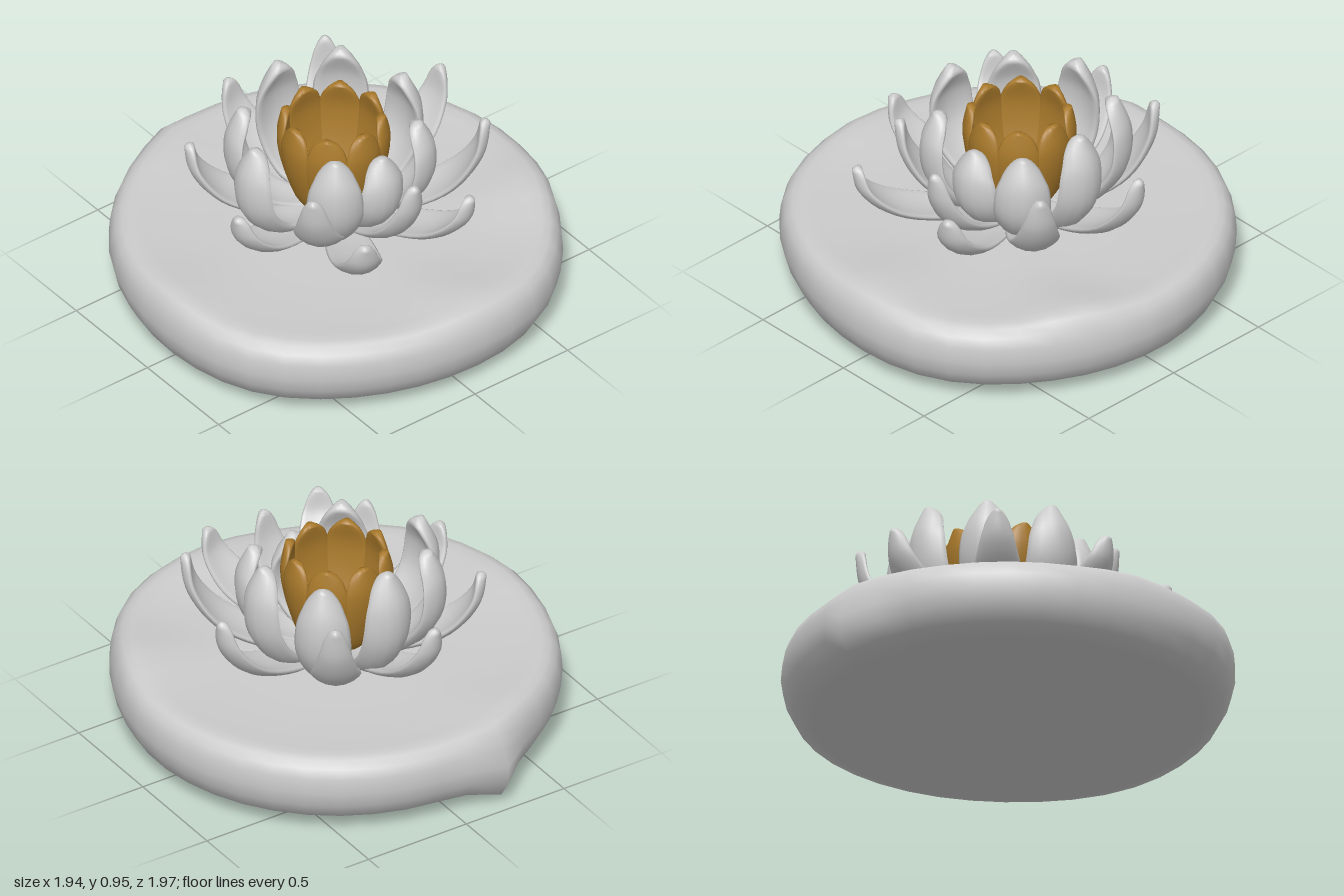
import * as THREE from 'three';
import { mergeVertices } from 'three/addons/utils/BufferGeometryUtils.js';

const grey = new THREE.MeshStandardMaterial({ color: 0xcccccc, side: THREE.DoubleSide });
const gold = new THREE.MeshStandardMaterial({ color: 0xa8792b, side: THREE.DoubleSide });
const CX = 0.02, CZ = -0.02; // flower axis

// Cupped petal with a blunt round tip, lofted along a path of [radius, height];
// one width per path point
function petalGeometry(path, widths, thick, cup) {
  const spine = new THREE.CatmullRomCurve3(path.map(([r, y]) => new THREE.Vector3(0, y, r)));
  const wide = new THREE.SplineCurve(widths.map((w, i) => new THREE.Vector2(i, w)));
  const rows = 24, sides = 16, pos = [], index = [];
  for (let i = 0; i <= rows; i++) {
    const t = 1 - (1 - i / rows) ** 1.5; // denser rows towards the tip
    const p = spine.getPoint(t), d = spine.getTangent(t);
    const round = Math.sqrt(1 - Math.max(0, (t - 0.88) / 0.12) ** 2);
    const w = Math.max(wide.getPoint(t).y * round, 0.004) / 2;
    const h = Math.min(thick / 2, w);
    for (let j = 0; j < sides; j++) {
      const a = (j / sides) * Math.PI * 2, c = Math.cos(a);
      const n = Math.sin(a) * h + cup * w * c * c; // offset towards the inner face
      pos.push(c * w, p.y + d.z * n, p.z - d.y * n);
      if (i < rows) {
        const k = i * sides + j, k2 = i * sides + (j + 1) % sides;
        index.push(k, k2, k + sides, k2, k2 + sides, k + sides);
      }
    }
  }
  // close both ends
  const last = rows * sides;
  for (let j = 1; j < sides - 1; j++) {
    index.push(0, j + 1, j, last, last + j, last + j + 1);
  }
  const g = new THREE.BufferGeometry();
  g.setAttribute('position', new THREE.Float32BufferAttribute(pos, 3));
  g.setIndex(index);
  g.computeVertexNormals();
  return g;
}

function addPetal(group, name, geometry, angle, material) {
  const m = new THREE.Mesh(geometry, material);
  m.name = name;
  m.position.set(CX, 0, CZ);
  m.rotation.y = angle;
  group.add(m);
}

// Thick rounded leaf with soft humps and a pointed lip at the back
function lilyPad() {
  const profile = [[0, 0.046], [0.4, 0.046], [0.65, 0.046], [0.76, 0.048], [0.84, 0.06], [0.915, 0.09],
    [0.952, 0.16], [0.968, 0.23], [0.962, 0.3], [0.945, 0.345], [0.915, 0.372], [0.88, 0.38],
    [0.83, 0.377], [0.75, 0.37], [0.6, 0.365], [0.45, 0.365], [0.25, 0.37], [0, 0.375]];
  const lipAngle = Math.atan2(-0.22, -0.97);
  const points = profile.map(([r, y]) => new THREE.Vector2(r, y));
  let g = new THREE.LatheGeometry(points, 40, lipAngle); // one column runs through the lip
  g.deleteAttribute('uv');
  g.deleteAttribute('normal');
  g = mergeVertices(g, 1e-4);
  const humps = [[0.05, 0.75, 0.035], [0.74, 0.35, 0.04], [-0.84, 0.05, 0.02], [-0.3, -0.75, 0.015]];
  const p = g.attributes.position;
  for (let i = 0; i < p.count; i++) {
    let x = p.getX(i), y = p.getY(i), z = p.getZ(i);
    const r = Math.hypot(x, z), angle = Math.atan2(x, z);
    let d = angle - lipAngle;
    d = Math.atan2(Math.sin(d), Math.cos(d));
    const lip = Math.exp(-((d / 0.12) ** 2));
    const outer = THREE.MathUtils.smoothstep(r, 0.6, 0.95);
    const low = 1 - THREE.MathUtils.smoothstep(y, 0.15, 0.36);
    // the outline swells slightly at two places on the front half
    const swell = Math.exp(-(((angle + 1.01) / 0.4) ** 2)) + Math.exp(-(((angle - 0.47) / 0.4) ** 2));
    const s = 1 + outer * (0.072 * lip * (0.3 + 0.7 * low) + 0.035 * swell);
    if (y > 0.33) {
      for (const [hx, hz, a] of humps) y += a * Math.exp(-((x - hx) ** 2 + (z - hz) ** 2) / 0.035);
    } else {
      y -= lip * THREE.MathUtils.smoothstep(r, 0.35, 0.8) * low * 0.046;
    }
    p.setXYZ(i, x * s, Math.max(y, 0), z * s + 0.012);
  }
  g.computeVertexNormals();
  const m = new THREE.Mesh(g, grey);
  m.name = 'lilyPad';
  return m;
}

export function createModel() {
  const model = new THREE.Group();
  model.name = 'waterLily';
  model.add(lilyPad());

  // Outer petals, each given by its tip [x, z, y]
  const outer = new THREE.Group();
  outer.name = 'outerPetals';
  const outerTips = [[-0.09, -0.62, 0.76], [0.35, -0.51, 0.85], [0.67, -0.11, 0.79], [0.55, 0.36, 0.84],
    [0.26, 0.63, 0.72], [0.05, 0.51, 0.8], [-0.31, 0.63, 0.72], [-0.36, 0.33, 0.8],
    [-0.61, 0.13, 0.71], [-0.5, -0.36, 0.76]];
  for (const [x, z, y] of outerTips) {
    const R = Math.hypot(x - CX, z - CZ), h = y - 0.4;
    const path = [[0.04, 0.39], [R * 0.45, 0.41], [R * 0.78, 0.4 + h * 0.25], [R * 0.96, 0.4 + h * 0.62], [R, y]];
    const g = petalGeometry(path, [0.1, 0.2, 0.215, 0.15, 0.08], 0.045, 0.3);
    addPetal(outer, 'outerPetal', g, Math.atan2(x - CX, z - CZ), grey);
  }
  model.add(outer);

  // Middle petals: a ring of eight, upright and bulging past their tips
  const middle = new THREE.Group();
  middle.name = 'middlePetals';
  const middleTips = [[0, -0.37, 0.95], [0.28, -0.31, 0.93], [0.38, -0.02, 0.92], [0.28, 0.21, 0.86],
    [0.05, 0.26, 0.81], [-0.18, 0.25, 0.89], [-0.39, -0.02, 0.89], [-0.27, -0.26, 0.9]];
  for (const [x, z, y] of middleTips) {
    const R = Math.hypot(x - CX, z - CZ), h = y - 0.4;
    const path = [[0.04, 0.39], [R * 0.75, 0.43], [R + 0.04, 0.4 + h * 0.35], [R + 0.06, 0.4 + h * 0.7], [R, y]];
    const g = petalGeometry(path, [0.1, 0.2, 0.245, 0.225, 0.12], 0.065, 0.42);
    addPetal(middle, 'middlePetal', g, Math.atan2(x - CX, z - CZ), grey);
  }
  model.add(middle);

  // Golden cup of eight overlapping petals
  const heart = new THREE.Group();
  heart.name = 'goldenHeart';
  const goldPath = [[0.01, 0.42], [0.13, 0.46], [0.195, 0.6], [0.225, 0.77], [0.205, 0.895]];
  const goldPetal = petalGeometry(goldPath, [0.08, 0.17, 0.2, 0.19, 0.12], 0.04, 0.2);
  for (let i = 0; i < 8; i++) addPetal(heart, 'goldenPetal', goldPetal, i * Math.PI / 4, gold);
  model.add(heart);

  return model;
}
